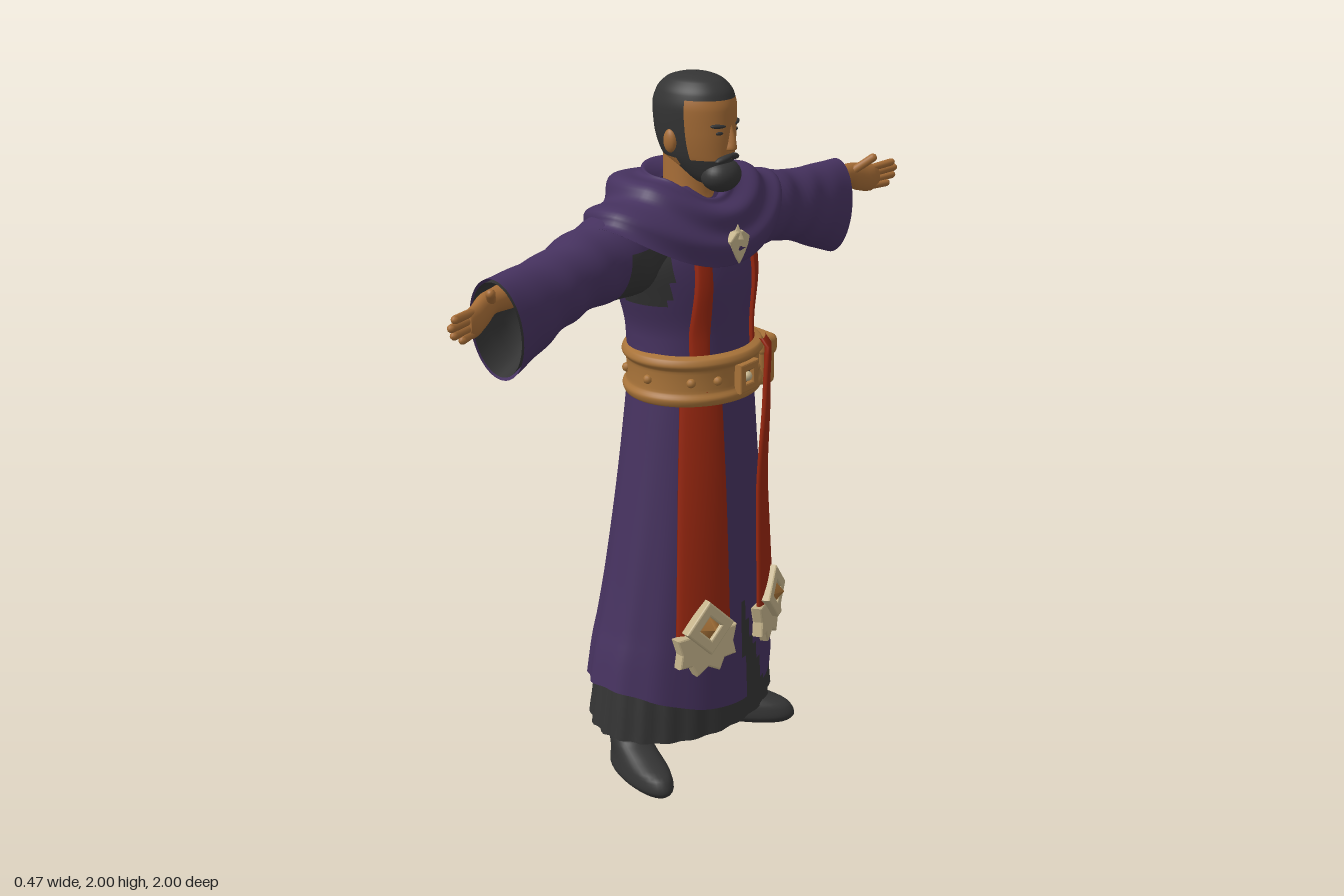
import * as THREE from 'three';
import { RoundedBoxGeometry } from 'three/addons/geometries/RoundedBoxGeometry.js';

const mat = (name, color, side = THREE.FrontSide) => {
  const m = new THREE.MeshStandardMaterial({ color, side });
  m.name = name;
  return m;
};

// Smooth monotone interpolation of rows [key, halfWidth, back, front, shift] at a key.
function at(rows, k) {
  const n = rows.length - 1;
  let i = 0;
  while (i < n - 1 && k > rows[i + 1][0]) i++;
  const h = rows[i + 1][0] - rows[i][0], t = Math.min(1, Math.max(0, (k - rows[i][0]) / h));
  return [1, 2, 3, 4].map((c) => {
    const val = (j) => rows[j][c] || 0;
    const sec = (j) => (val(j + 1) - val(j)) / (rows[j + 1][0] - rows[j][0]);
    const tan = (j) => {
      if (j === 0) return sec(0);
      if (j === n) return sec(n - 1);
      const a = sec(j - 1), b = sec(j);
      return a * b > 0 ? (2 * a * b) / (a + b) : 0;
    };
    const t2 = t * t, t3 = t2 * t;
    return (2 * t3 - 3 * t2 + 1) * val(i) + (t3 - 2 * t2 + t) * h * tan(i) +
      (3 * t2 - 2 * t3) * val(i + 1) + (t3 - t2) * h * tan(i + 1);
  });
}

// Closed-ring surface; pick() chooses a material index for each quad.
function skin(nu, nv, f, pick = () => 0) {
  const pos = [], pts = [], buckets = [[], []];
  for (let j = 0; j <= nv; j++) for (let i = 0; i < nu; i++) {
    const p = f((i / nu) * Math.PI * 2, j / nv, j);
    pts.push(p);
    pos.push(p.x, p.y, p.z);
  }
  for (let j = 0; j < nv; j++) for (let i = 0; i < nu; i++) {
    const a = j * nu + i, b = j * nu + (i + 1) % nu, c = b + nu, d = a + nu;
    const mid = pts[a].clone().add(pts[b]).add(pts[c]).add(pts[d]).multiplyScalar(0.25);
    buckets[pick(mid)].push(a, b, c, a, c, d);
  }
  const g = new THREE.BufferGeometry();
  g.setAttribute('position', new THREE.Float32BufferAttribute(pos, 3));
  g.setIndex([...buckets[0], ...buckets[1]]);
  g.addGroup(0, buckets[0].length, 0);
  if (buckets[1].length) g.addGroup(buckets[0].length, buckets[1].length, 1);
  g.computeVertexNormals();
  return g;
}

// Elliptical loft through rows, bottom to top.
function loft(rows, { n = 40, sub = 4, warp, pick } = {}) {
  return skin(n, (rows.length - 1) * sub, (a, v, j) => {
    const i = Math.min(rows.length - 2, Math.floor(j / sub));
    const k = rows[i][0] + (rows[i + 1][0] - rows[i][0]) * (j / sub - i);
    const [w, zb, zf, cx] = at(rows, k);
    const p = new THREE.Vector3(cx + w * Math.sin(a), k, (zb + zf) / 2 + ((zf - zb) / 2) * Math.cos(a));
    if (warp) warp(p, a, k);
    return p;
  }, pick);
}

const frontZ = (rows, x, y) => {
  const [w, zb, zf] = at(rows, y);
  return (zb + zf) / 2 + ((zf - zb) / 2) * Math.sqrt(Math.max(0, 1 - (x / w) ** 2));
};

function mirrored(geo) {
  const g = geo.clone().scale(-1, 1, 1);
  if (!g.index) g.setIndex([...Array(g.attributes.position.count).keys()]);
  const ix = g.index.array;
  for (let i = 0; i < ix.length; i += 3) [ix[i], ix[i + 1]] = [ix[i + 1], ix[i]];
  g.computeVertexNormals();
  return g;
}

export function createModel() {
  const purple = mat('purple cloth', 0x46325f, THREE.DoubleSide);
  const dark = mat('charcoal', 0x343434, THREE.DoubleSide);
  const flesh = mat('skin', 0xa56c36);
  const leather = mat('belt leather', 0xa87339);
  const red = mat('red cloth', 0x96260f);
  const bone = mat('pale trim', 0xc3b28a);
  const model = new THREE.Group(), body = new THREE.Group();
  body.name = 'figure';
  body.rotation.y = Math.PI / 2; // the figure faces +x
  model.add(body);
  const add = (name, geo, m, x = 0, y = 0, z = 0, parent = body) => {
    const o = new THREE.Mesh(geo, m);
    o.name = name;
    o.position.set(x, y, z);
    parent.add(o);
    return o;
  };
  const pair = (name, geo, m) => {
    add(name + 'Left', geo, m);
    add(name + 'Right', mirrored(geo), m);
  };

  // Robe skirt with folds at the back and a lower front hem
  const skirtRows = [[0.2, 0.325, -0.25, 0.195], [0.35, 0.31, -0.238, 0.19], [0.6, 0.27, -0.205, 0.185],
    [0.9, 0.225, -0.175, 0.178], [1.17, 0.19, -0.155, 0.17]];
  add('skirt', loft(skirtRows, { n: 96, sub: 8,
    warp: (p, a, y) => {
      const c = Math.cos(a), low = Math.max(0, (1.1 - y) / 0.9);
      const f = 1 + 0.022 * low * Math.cos(a * 13) * (0.6 - 0.4 * c);
      p.x *= f;
      p.z *= f;
      p.y += Math.max(0, 1 - (y - 0.2) / 0.25) * (0.095 - (c > 0 ? 0.09 : 0.045) * c * c);
    },
    pick: (p) => (p.z > 0 && p.y < 0.52 && p.x > 0.06 - p.y * 0.06 - 0.03 && p.x < 0.07 + 0.05 * Math.sin(p.y * 9) ? 1 : 0),
  }), [purple, dark]);
  add('underskirt', loft([[0.15, 0.325, -0.238, 0.188], [0.28, 0.308, -0.225, 0.178], [0.42, 0.285, -0.21, 0.165], [0.43, 0.01, -0.03, 0]],
    { n: 96, warp: (p, a, y) => { const f = 1 + 0.018 * Math.cos(a * 22); p.x *= f; p.z *= f; p.y -= y < 0.2 ? 0.015 * Math.cos(a) : 0; } }), dark);

  // Torso
  const torsoRows = [[1.12, 0.188, -0.152, 0.165], [1.3, 0.185, -0.165, 0.16], [1.42, 0.215, -0.185, 0.162],
    [1.52, 0.24, -0.195, 0.148], [1.62, 0.22, -0.17, 0.1], [1.7, 0.1, -0.1, 0.05]];
  add('torso', loft(torsoRows, { n: 64, sub: 6,
    pick: (p) => (Math.abs(p.x) > 0.185 && p.y > 1.4 && p.y < 1.56 && p.z > -0.06 ? 1 : 0) }), [purple, dark]);

  // Sleeves, lofted upright then laid along the arm
  const sleeveRows = [[0.14, 0.1, -0.15, 0.08, -1.54], [0.28, 0.118, -0.145, 0.065, -1.545], [0.4, 0.106, -0.14, 0.05, -1.535],
    [0.52, 0.104, -0.13, 0.045, -1.512], [0.64, 0.12, -0.122, 0.045, -1.485], [0.755, 0.138, -0.11, 0.045, -1.463]];
  const cuff = (p, a, k) => {
    const e = Math.max(0, (k - 0.5) / 0.25);
    p.y += e * (-0.018 * Math.sin(a) - 0.012 * Math.cos(a));
    p.z += 0.006 * Math.sin(k * 50 + a * 2) * Math.max(0, 1 - e);
  };
  pair('sleeve', loft(sleeveRows, { n: 48, sub: 6, warp: cuff,
    pick: (p) => (p.y < 0.33 && p.z > -0.02 && -p.x < 1.57 ? 1 : 0) }).rotateZ(-Math.PI / 2), [purple, dark]);
  const lining = sleeveRows.slice(3).map(([k, w, b, f, c]) => [k, w - 0.008, b + 0.008, f - 0.008, c]);
  pair('sleeveLining', loft([[0.51, 0.002, -0.05, -0.046, -1.51], ...lining], { warp: cuff }).rotateZ(-Math.PI / 2), dark);

  // Forearms and hands
  pair('hand', loft([[0.5, 0.04, -0.09, 0, -1.53], [0.72, 0.036, -0.058, 0.012, -1.55], [0.79, 0.031, -0.045, 0.012, -1.55],
    [0.84, 0.042, -0.032, 0.02, -1.537], [0.89, 0.041, -0.012, 0.03, -1.526], [0.915, 0.03, 0, 0.03, -1.526], [0.918, 0.002, 0.014, 0.018, -1.526]],
  { n: 24 }).rotateZ(-Math.PI / 2), flesh);
  const finger = (name, pts, r) => {
    const [a, b] = pts.map((p) => new THREE.Vector3(...p)), d = b.clone().sub(a);
    const g = new THREE.CapsuleGeometry(r, d.length(), 4, 10);
    g.applyQuaternion(new THREE.Quaternion().setFromUnitVectors(new THREE.Vector3(0, 1, 0), d.normalize()));
    const m = a.add(b).multiplyScalar(0.5);
    pair(name, g.translate(m.x, m.y, m.z), flesh);
  };
  [[1.553, 0.975], [1.536, 0.989], [1.517, 0.98], [1.5, 0.95]].forEach(([y, x], i) =>
    finger('finger' + (i + 1), [[0.88, y, 0.008], [x, y + 0.006 * (1 - i * 0.3), 0.03]], 0.011));
  finger('thumb', [[0.81, 1.56, 0], [0.856, 1.597, 0.04]], 0.0125);

  // Mantle with draped hood folds at the back
  const nA = 80, mantleLines = [];
  for (let i = 0; i < nA; i++) {
    const a = (i / nA) * Math.PI * 2, s = Math.sin(a), c = Math.cos(a), c2 = c * c, F = c > 0;
    const key = (x, front, back, y, df, db) => new THREE.Vector3(x * s, y - (F ? df : db) * c2, c * (F ? front : back));
    mantleLines.push(new THREE.CatmullRomCurve3([
      key(0.335, 0.15, 0.17, 1.648, 0.135, 0.17), key(0.37, 0.17, 0.205, 1.642, 0.145, 0.2),
      key(0.33, 0.168, 0.232, 1.667, 0.12, 0.12), key(0.24, 0.15, 0.235, 1.695, 0.09, 0.055),
      key(0.16, 0.115, 0.17, 1.722, 0.07, 0.005), key(0.115, 0.085, 0.115, 1.728, 0.065, -0.005),
      key(0.095, 0.06, 0.08, 1.7, 0.07, 0)]));
  }
  add('mantle', skin(nA, 48, (a, v) => {
    const p = mantleLines[Math.round((a / (Math.PI * 2)) * nA) % nA].getPoint(v);
    const w = Math.sin(v * Math.PI) * (0.006 + 0.009 * (1 - Math.cos(a)) / 2) * Math.sin(v * 25 + Math.sin(a) * 1.5);
    const r = Math.hypot(p.x, p.z);
    p.x += (p.x / r) * w;
    p.z += (p.z / r) * w;
    p.y += w * 0.7;
    return p;
  }), purple);

  // Neck and head, with hair and beard as separate faces
  add('neck', loft([[1.6, 0.085, -0.08, 0.1], [1.68, 0.068, -0.07, 0.07], [1.82, 0.062, -0.07, 0.06]], { n: 32 }), flesh);
  add('head', loft([[1.7, 0.004, 0.06, 0.07], [1.712, 0.035, 0.02, 0.115], [1.745, 0.06, -0.04, 0.135], [1.79, 0.079, -0.08, 0.139],
    [1.85, 0.09, -0.098, 0.142], [1.91, 0.094, -0.102, 0.142], [1.95, 0.086, -0.09, 0.133], [1.98, 0.064, -0.062, 0.108],
    [1.995, 0.035, -0.02, 0.072], [2, 0.002, 0.024, 0.028]], { n: 72, sub: 7,
    pick: (p) => {
      if (p.y < 1.778) return p.z > 0.02 ? 1 : 0;
      return p.z > 0.055 && p.y < 1.937 ? 0 : 1;
    } }), [flesh, dark]);
  add('beard', new THREE.SphereGeometry(1, 32, 20).scale(0.06, 0.046, 0.052), dark, 0, 1.731, 0.108);
  add('nose', loft([[1.8, 0.003, 0.12, 0.145], [1.806, 0.017, 0.11, 0.157], [1.825, 0.013, 0.11, 0.156], [1.87, 0.008, 0.11, 0.142]], { n: 16 }), flesh);
  for (const s of [-1, 1]) {
    const side = s > 0 ? 'Left' : 'Right';
    add('ear' + side, new THREE.SphereGeometry(1, 16, 12).scale(0.014, 0.032, 0.02), flesh, s * 0.088, 1.825, 0.005);
    add('moustache' + side, new THREE.SphereGeometry(1, 16, 10).scale(0.03, 0.009, 0.012), dark, s * 0.022, 1.782, 0.134).rotation.set(0, s * 0.3, s * -0.25);
    add('brow' + side, new THREE.SphereGeometry(1, 16, 10).scale(0.024, 0.006, 0.009), dark, s * 0.04, 1.871, 0.127).rotation.set(0, s * 0.42, s * 0.08);
    add('eye' + side, new THREE.SphereGeometry(1, 12, 8).scale(0.012, 0.005, 0.004), dark, s * 0.037, 1.852, 0.13).rotation.y = s * 0.4;

    // Boots, turned outward
    const boot = loft([[0, 0.002, 0, 0.004], [0.002, 0.048, -0.055, 0.225], [0.025, 0.062, -0.062, 0.245], [0.055, 0.059, -0.058, 0.23],
      [0.085, 0.055, -0.056, 0.15], [0.12, 0.053, -0.054, 0.075], [0.2, 0.055, -0.056, 0.06], [0.36, 0.06, -0.06, 0.06]], { n: 32 });
    add('boot' + side, boot, dark, s * 0.212, 0, -0.062).rotation.y = s * 0.42;
  }

  // Belt with rolled edges, buckle, studs and pouch
  const beltRows = [[1.115, 0], [1.122, 0.018], [1.14, 0.024], [1.158, 0.014], [1.19, 0.013], [1.218, 0.014], [1.236, 0.026], [1.252, 0.02], [1.26, 0]]
    .map(([y, e]) => [y, 0.183 + e, -0.147 - e, 0.178 + e]);
  add('belt', loft(beltRows, { n: 64 }), leather);
  const square = (r) => [[-r, -r], [r, -r], [r, r], [-r, r]].map((p) => new THREE.Vector2(...p));
  const frame = new THREE.Shape(square(0.036));
  frame.holes.push(new THREE.Path(square(0.022)));
  const bevel = (depth, b = 0.005) => ({ depth, bevelSize: b, bevelThickness: b, bevelSegments: 2 });
  add('buckle', new THREE.ExtrudeGeometry(frame, bevel(0.018)), leather, 0, 1.183, 0.188);
  add('buckleInset', new THREE.BoxGeometry(0.046, 0.046, 0.008), dark, 0, 1.183, 0.193);
  add('buckleStud', new THREE.SphereGeometry(0.014, 16, 10), bone, 0, 1.183, 0.2);
  for (const a of [-1.6, -0.9, -0.5, 0.35, 2.2, Math.PI, 4])
    add('beltStud', new THREE.SphereGeometry(0.013, 12, 8), leather, 0.196 * Math.sin(a), 1.188, 0.015 + 0.176 * Math.cos(a));
  add('pouch', new RoundedBoxGeometry(0.06, 0.14, 0.115, 3, 0.018), leather, 0.2, 1.162, 0.085).rotation.y = -0.25;
  add('pouchFlap', new RoundedBoxGeometry(0.068, 0.06, 0.122, 3, 0.018), leather, 0.203, 1.208, 0.085).rotation.y = -0.25;

  // Red sashes that follow the robe; rows are [y, centre x, half width, lift]
  const sash = (name, rows, base) => add(name, skin(24, 40, (a, v) => {
    const y = rows[0][0] + v * (rows[rows.length - 1][0] - rows[0][0]);
    const [cx, w, lift] = at(rows, y);
    const x = cx + w * Math.sin(a);
    return new THREE.Vector3(x, y, frontZ(base, x, y) + lift + 0.011 * Math.sign(Math.cos(a)) * Math.sqrt(Math.abs(Math.cos(a))));
  }), red);
  sash('sashRight', [[0.42, -0.147, 0.08, 0.012], [0.8, -0.135, 0.063, 0.012], [1.16, -0.122, 0.045, 0.01]], skirtRows);
  sash('sashLeft', [[0.42, 0.147, 0.08, 0.014], [0.8, 0.132, 0.066, 0.018], [1.1, 0.115, 0.042, 0.045], [1.24, 0.118, 0.036, 0.052], [1.265, 0.118, 0.034, 0.03]], skirtRows);
  for (const s of [-1, 1])
    sash('chestStripe', [[1.2, s * 0.118, 0.02, 0.004], [1.4, s * 0.117, 0.022, 0.004], [1.56, s * 0.11, 0.022, 0.004]], torsoRows);

  // Pale sash ornaments
  const half = [[0.045, 0.04], [0.06, 0.012], [0.095, 0.012], [0.082, -0.03], [0.09, -0.066], [0.052, -0.068], [0.036, -0.1]];
  const outline = (pts) => new THREE.Shape([...pts, [0, -0.08], ...pts.map(([x, y]) => [-x, y]).reverse()].map((p) => new THREE.Vector2(...p)));
  for (const s of [-1, 1]) {
    const o = new THREE.Group();
    o.name = 'sashOrnament' + (s > 0 ? 'Left' : 'Right');
    o.position.set(s * 0.146, 0.45, 0.158);
    o.rotation.set(-0.05, s * 0.32, 0);
    body.add(o);
    add('leaves', new THREE.ExtrudeGeometry(outline(half), bevel(0.022, 0.006)), bone, 0, 0, 0, o);
    const diamond = (r) => new THREE.Shape([[0, -r], [r, 0], [0, r], [-r, 0]].map((p) => new THREE.Vector2(...p)));
    const ring = diamond(0.073);
    ring.holes.push(new THREE.Path(diamond(0.042).getPoints()));
    add('diamondFrame', new THREE.ExtrudeGeometry(ring, bevel(0.022)), bone, 0, 0.035, 0.02, o);
    add('gem', new THREE.ConeGeometry(0.046, 0.04, 4).rotateX(Math.PI / 2).toNonIndexed(), leather, 0, 0.035, 0.046, o);
  }

  // Brooch at the throat of the mantle
  const brooch = [[0.014, 0.04], [0.04, 0.018], [0.034, -0.01], [0.018, -0.036]];
  add('brooch', new THREE.ExtrudeGeometry(outline(brooch.map(([x, y]) => [x, y - 0.02])).clone(), bevel(0.014)), bone, 0, 1.565, 0.155).scale.set(1, 0.8, 1);
  add('broochTip', new THREE.ConeGeometry(0.02, 0.04, 4), bone, 0, 1.585, 0.165);
  return model;
}
